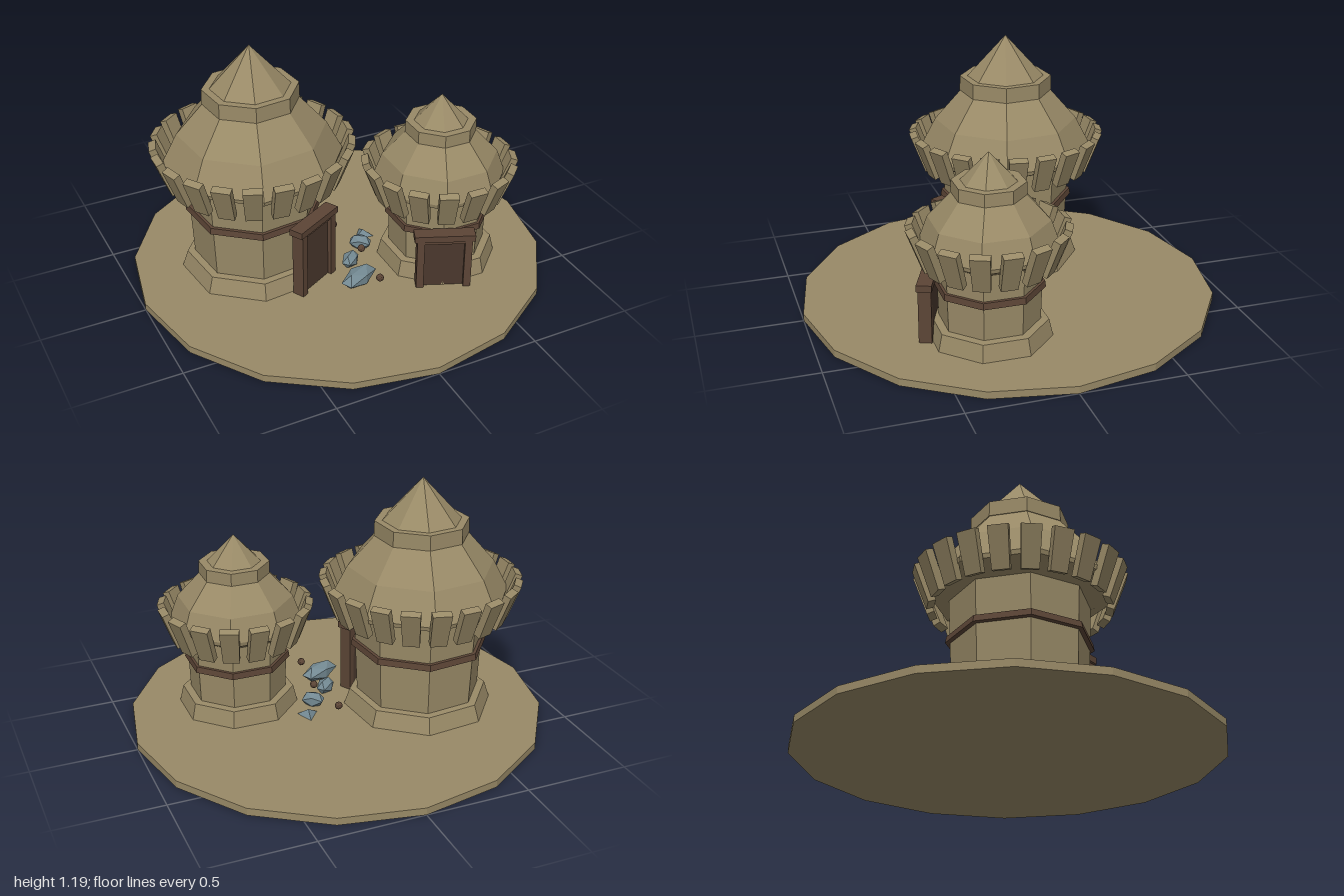
import * as THREE from 'three';

const mat = (name, color) => {
  const m = new THREE.MeshStandardMaterial({ color, flatShading: true });
  m.name = name;
  return m;
};

export function createModel() {
  const clay = mat('clay', 0x998a67);
  const wood = mat('wood', 0x5c4536);
  const darkWood = mat('darkWood', 0x4a382d);
  const stone = mat('stone', 0x748a93);

  const model = new THREE.Group();
  model.name = 'hutVillage';

  const add = (parent, name, geometry, material, x = 0, y = 0, z = 0) => {
    const mesh = new THREE.Mesh(geometry, material);
    mesh.name = name;
    mesh.position.set(x, y, z);
    parent.add(mesh);
    return mesh;
  };
  // Eight-sided turned shape from [radius, height] pairs, bottom to top
  const turned = (points) =>
    new THREE.LatheGeometry(points.map(([r, y]) => new THREE.Vector2(r, y)), 8);

  // Sixteen-sided ground slab
  const GROUND = 0.035;
  add(model, 'ground', new THREE.CylinderGeometry(1, 1, GROUND, 16), clay, 0, GROUND / 2, 0);

  // Slat that narrows towards its lower end
  const slatGeometry = new THREE.BoxGeometry(0.09, 0.19, 0.036);
  const p = slatGeometry.attributes.position;
  for (let i = 0; i < p.count; i++) if (p.getY(i) < 0) p.setX(i, p.getX(i) * 0.86);

  function hut(name, x, z, turn, s) {
    const g = new THREE.Group();
    g.name = name;
    g.position.set(x, 0, z);
    g.rotation.y = turn;
    model.add(g);

    add(g, 'foot', turned(s.foot), clay);
    add(g, 'wall', turned(s.wall), clay);
    add(g, 'wallBand', turned(s.band), wood);
    add(g, 'roof', turned(s.roof), clay);
    add(g, 'roofCap', turned(s.cap), clay);
    add(g, 'roofPeak', turned(s.peak), clay);

    // Ring of slats leaning outward around the eave
    const ring = new THREE.Group();
    ring.name = 'slatRing';
    g.add(ring);
    for (let i = 0; i < s.slats; i++) {
      const a = (i / s.slats) * Math.PI * 2;
      const slat = add(ring, 'slat', slatGeometry, clay,
        Math.sin(a) * s.slatRadius, s.slatY, Math.cos(a) * s.slatRadius);
      slat.rotation.set(0.36, a, 0, 'YXZ');
    }

    // Doorway with leaf, posts and lintel
    const door = new THREE.Group();
    door.name = 'doorway';
    door.position.set(0, GROUND, s.doorZ);
    g.add(door);
    const h = s.doorTop - GROUND;
    add(door, 'doorLeaf', new THREE.BoxGeometry(0.2, h - 0.03, 0.04), darkWood, 0, (h - 0.03) / 2, -0.01);
    for (const side of [-1, 1])
      add(door, 'doorPost', new THREE.BoxGeometry(0.035, h - 0.03, 0.06), wood, side * 0.112, (h - 0.03) / 2, 0);
    add(door, 'innerLintel', new THREE.BoxGeometry(0.2, 0.02, 0.05), wood, 0, h - 0.04, 0);
    add(door, 'lintel', new THREE.BoxGeometry(0.285, 0.032, 0.07), wood, 0, h - 0.016, 0);
  }

  hut('largeHut', -0.385, -0.115, 0.5, {
    foot: [[0.362, GROUND], [0.335, 0.115], [0.29, 0.118]],
    wall: [[0.298, 0.1], [0.318, 0.56]],
    band: [[0.3, 0.352], [0.33, 0.355], [0.325, 0.385], [0.3, 0.388]],
    roof: [[0.3, 0.55], [0.42, 0.6], [0.425, 0.62], [0.35, 0.765], [0.215, 0.92]],
    cap: [[0.2, 0.91], [0.226, 0.912], [0.224, 0.985], [0, 0.985]],
    peak: [[0.19, 0.982], [0, 1.19]],
    slats: 21, slatRadius: 0.43, slatY: 0.618,
    doorZ: 0.35, doorTop: 0.4,
  });

  hut('smallHut', 0.43, 0.22, -0.4, {
    foot: [[0.289, GROUND], [0.27, 0.115], [0.225, 0.118]],
    wall: [[0.232, 0.1], [0.242, 0.44]],
    band: [[0.23, 0.273], [0.254, 0.276], [0.25, 0.306], [0.23, 0.309]],
    roof: [[0.23, 0.425], [0.31, 0.47], [0.315, 0.49], [0.275, 0.6], [0.16, 0.725]],
    cap: [[0.15, 0.715], [0.168, 0.717], [0.167, 0.777], [0, 0.777]],
    peak: [[0.13, 0.774], [0, 0.91]],
    slats: 16, slatRadius: 0.32, slatY: 0.483,
    doorZ: 0.275, doorTop: 0.325,
  });

  // Stones lying between the huts: x, y, z, half sizes, turn
  const rock = new THREE.IcosahedronGeometry(1, 0);
  for (const [x, y, z, sx, sy, sz, turn] of [
    [-0.03, 0.07, 0.29, 0.115, 0.045, 0.055, 0.45],
    [0.0, 0.065, 0.14, 0.06, 0.04, 0.04, 0.7],
    [0.11, 0.065, 0.03, 0.06, 0.042, 0.04, -0.6],
  ]) {
    const stoneMesh = add(model, 'stone', rock, stone, x, y, z);
    stoneMesh.scale.set(sx, sy, sz);
    stoneMesh.rotation.y = turn;
  }
  // Low pointed shard at the end of the row
  const shard = add(model, 'shard', new THREE.ConeGeometry(0.06, 0.035, 3), stone, 0.17, 0.05, -0.06);
  shard.rotation.y = 0.9;

  // Small dark knobs
  for (const [x, z] of [[0.038, 0.375], [0.07, 0.12], [0.04, -0.128]])
    add(model, 'knob', new THREE.IcosahedronGeometry(0.019, 1), wood, x, 0.095, z);

  return model;
}
